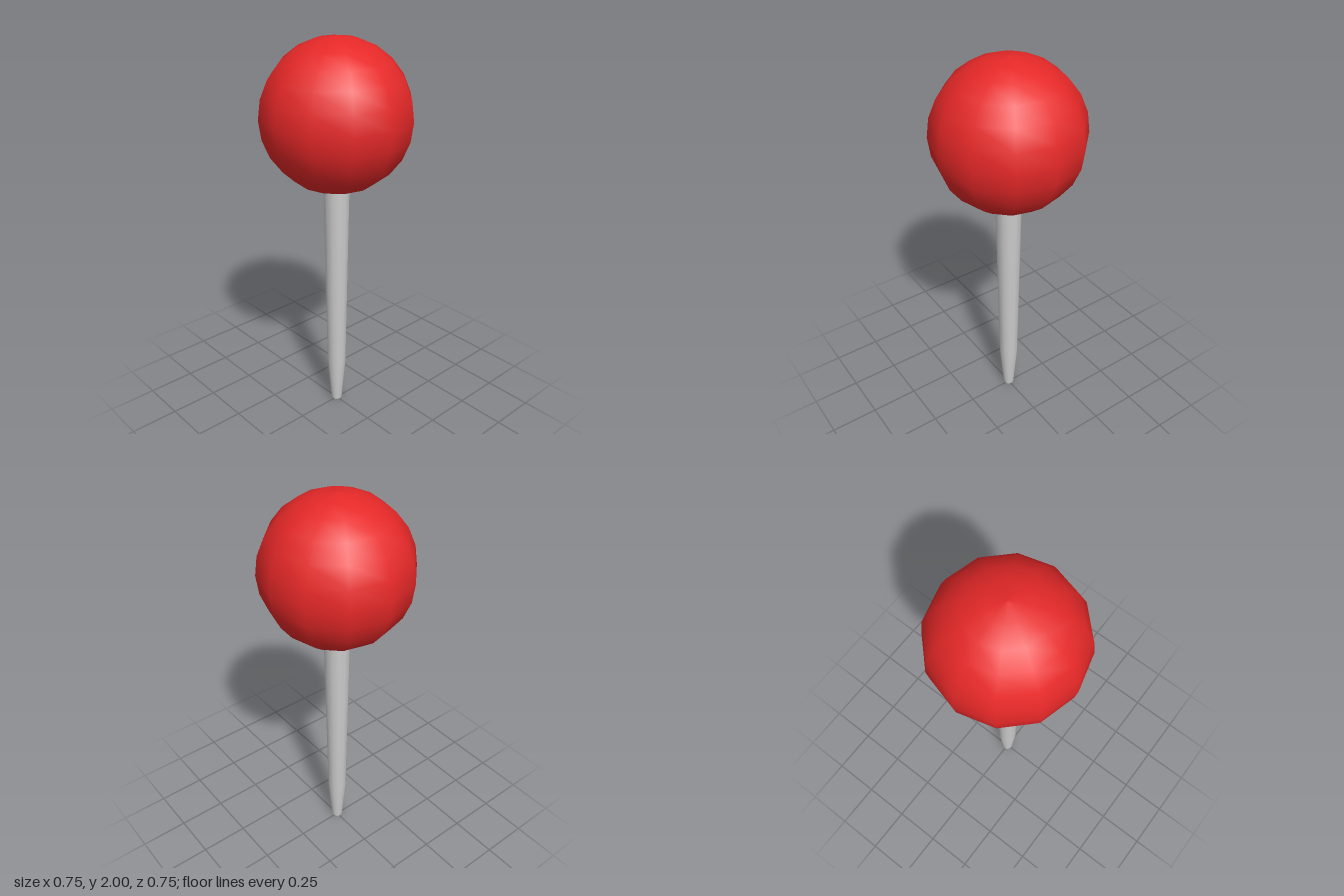
import * as THREE from 'three';

const SIDES = 12;

// Revolve [radius, height] pairs, listed from bottom to top
function revolve(name, profile, color) {
  const points = profile.map(([r, y]) => new THREE.Vector2(r, y));
  const mesh = new THREE.Mesh(
    new THREE.LatheGeometry(points, SIDES),
    new THREE.MeshStandardMaterial({ color })
  );
  mesh.name = name;
  return mesh;
}

export function createModel() {
  const group = new THREE.Group();
  group.name = 'pin';

  // Ball head: sphere cut off 30 degrees above its lower pole
  const radius = 0.373, centre = 2 - radius;
  const ball = [];
  for (let deg = 150; deg >= 0; deg -= 15) {
    const a = THREE.MathUtils.degToRad(deg);
    ball.push([radius * Math.sin(a), centre + radius * Math.cos(a)]);
  }
  const rim = ball[0][1];
  group.add(revolve('head', [[0.105, rim], ...ball], 0xe62828));

  // Short collar under the head, closed at the bottom
  group.add(revolve('collar', [[0, 1.275], [0.105, 1.275], [0.105, rim]], 0xe62828));

  // Tapered shaft with a narrower blunt tip
  group.add(revolve('shaft', [
    [0.027, 0.005], [0.03, 0.02], [0.05, 0.26], [0.061, 0.97], [0.066, 1.28],
  ], 0xcccccc));
  group.add(revolve('tip', [[0, 0], [0.024, 0], [0.027, 0.005]], 0xcccccc));

  return group;
}
